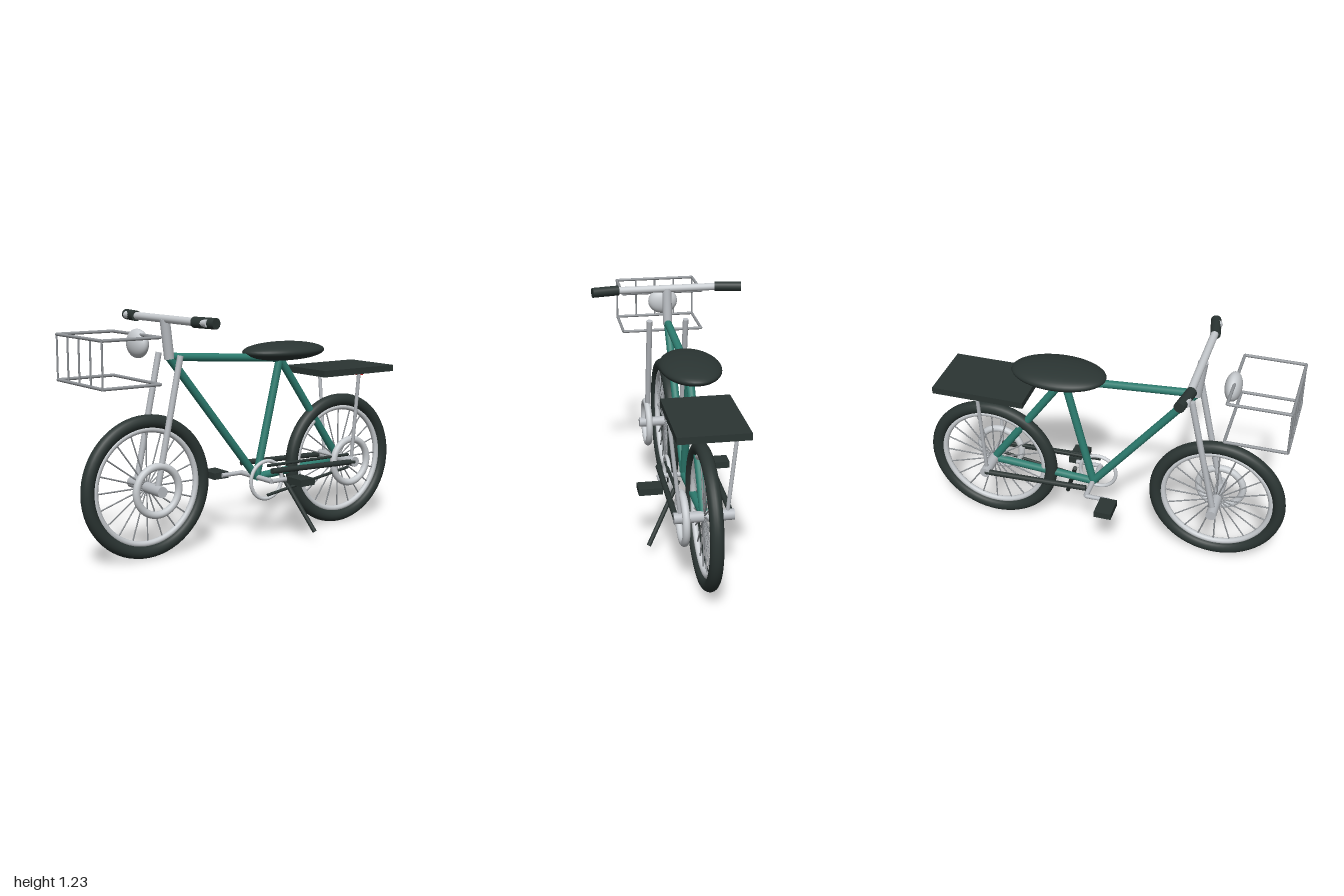
import * as THREE from 'three';

const mat = (name, color) => {
  const m = new THREE.MeshStandardMaterial({ color });
  m.name = name;
  return m;
};

export function createModel() {
  const green = mat('green paint', 0x2d7d70);
  const dark = mat('dark rubber', 0x2b3533);
  const silver = mat('silver metal', 0xb8bcc1);
  const pale = mat('pale metal', 0xc9cdd1);
  const wire = mat('grey wire', 0x909498);
  const red = mat('red reflector', 0xc4201c);

  const model = new THREE.Group();
  model.name = 'bicycle';

  const add = (name, geometry, material, pos = [0, 0, 0], parent = model) => {
    const m = new THREE.Mesh(geometry, material);
    m.name = name;
    m.position.set(...pos);
    parent.add(m);
    return m;
  };
  const box = (name, size, pos, material) => add(name, new THREE.BoxGeometry(...size), material, pos);

  // Round rod between two points
  const up = new THREE.Vector3(0, 1, 0);
  const rod = (name, a, b, r, material, parent = model, sides = 16) => {
    const p = new THREE.Vector3(...a), q = new THREE.Vector3(...b);
    const d = q.clone().sub(p);
    const m = add(name, new THREE.CylinderGeometry(r, r, d.length(), sides), material,
      p.clone().add(q).multiplyScalar(0.5).toArray(), parent);
    m.quaternion.setFromUnitVectors(up, d.normalize());
    return m;
  };
  const ellipsoid = (name, radii, pos, material) => {
    add(name, new THREE.SphereGeometry(1, 40, 24), material, pos).scale.set(...radii);
  };
  // Ring lying in the plane of the wheels
  const ring = (name, R, r, pos, material, parent = model) => {
    add(name, new THREE.TorusGeometry(R, r, 16, 64), material, pos, parent).rotation.y = Math.PI / 2;
  };

  // Wheels with tyre, rim, spokes, hub and side ring
  const hubY = 0.374, axleZ = 0.63;
  for (const [name, z] of [['frontWheel', axleZ], ['rearWheel', -axleZ]]) {
    const wheel = new THREE.Group();
    wheel.name = name;
    wheel.position.set(0, hubY, z);
    model.add(wheel);
    ring('tyre', 0.334, 0.034, [0, 0, 0], dark, wheel);
    ring('rim', 0.293, 0.016, [0, 0, 0], pale, wheel);
    ring('sideRing', 0.122, 0.019, [0.106, 0, 0], pale, wheel);
    rod('hub', [-0.15, 0, 0], [0.15, 0, 0], 0.028, silver, wheel, 24);
    for (let i = 0; i < 20; i++) {
      const a = (i / 20) * Math.PI * 2;
      rod('spoke', [0, 0, 0], [0, Math.cos(a) * 0.29, Math.sin(a) * 0.29], 0.004, wire, wheel, 6);
    }
  }

  // Frame tubes
  const head = [0, 1.02, 0.49], seat = [0, 0.97, -0.21];
  const crank = [0, 0.337, -0.055], rear = [0, hubY, -axleZ];
  rod('topTube', head, seat, 0.021, green);
  rod('downTube', head, crank, 0.021, green);
  rod('seatTube', seat, crank, 0.021, green);
  rod('seatStay', seat, rear, 0.021, green);
  rod('chainStay', crank, rear, 0.021, green);

  // Stem, handlebar and fork
  rod('stem', [0, 1.01, 0.488], [0, 1.21, 0.512], 0.026, silver);
  rod('handlebar', [-0.38, 1.21, 0.51], [0.38, 1.21, 0.51], 0.02, pale);
  for (const s of [-1, 1]) {
    rod('grip', [s * 0.27, 1.21, 0.515], [s * 0.415, 1.21, 0.488], 0.027, dark);
    rod('forkLeg', [s * 0.102, 1.035, 0.487], [s * 0.102, hubY, axleZ], 0.016, silver);
  }

  // Saddle and lamp
  ellipsoid('saddle', [0.155, 0.05, 0.253], [0, 1.008, -0.237], dark);
  ellipsoid('headlamp', [0.083, 0.072, 0.043], [0, 1.097, 0.67], pale);

  // Front basket
  const w = 0.226, zB = 0.68, zF = 0.99, yB = 0.92, yT = 1.143;
  for (const y of [yB, yT]) {
    rod('basketRail', [-w, y, zF], [w, y, zF], 0.008, wire);
    rod('basketRail', [-w, y, zB], [w, y, zB], 0.008, wire);
    for (const s of [-1, 1]) rod('basketRail', [s * w, y, zB], [s * w, y, zF], 0.008, wire);
  }
  for (let i = -2; i <= 2; i++) {
    rod('basketUpright', [i * w / 2, yB, zF], [i * w / 2, yT, zF], 0.005, wire, model, 8);
  }

  // Rear rack and reflector
  box('rack', [0.348, 0.035, 0.5], [0, 0.886, -0.63], dark);
  box('rearReflector', [0.13, 0.025, 0.03], [0, 0.857, -0.74], red);
  for (const s of [-1, 1]) {
    rod('rackStrut', [s * 0.168, 0.87, -axleZ], [s * 0.116, hubY, -axleZ], 0.01, silver);
  }

  // Cranks, pedals and chainring
  ring('chainring', 0.102, 0.01, [0.09, 0.337, -0.055], pale);
  rod('crankAxle', [-0.137, 0.337, -0.055], [0.137, 0.337, -0.055], 0.014, silver);
  for (const s of [-1, 1]) {
    const z = s < 0 ? 0.075 : -0.195;
    rod('crankArm', [s * 0.137, 0.337, -0.055], [s * 0.137, 0.337, z], 0.012, silver);
    box('pedal', [0.125, 0.036, 0.092], [s * 0.205, 0.335, z], dark);
    // Dark bars along both sides of the rear wheel
    rod('sideBar', [s * 0.138, 0.392, -0.055], [s * 0.138, hubY, -axleZ], 0.015, dark);
  }

  // Chain runs and kickstand
  rod('upperChain', [0.1, 0.415, -0.055], [0.1, 0.41, -0.62], 0.008, dark);
  rod('lowerChain', [0.1, 0.255, -0.055], [0.1, 0.338, -0.62], 0.008, dark);
  rod('kickstand', [0.05, 0.36, -0.175], [0.225, 0.045, -0.28], 0.012, dark);

  return model;
}
